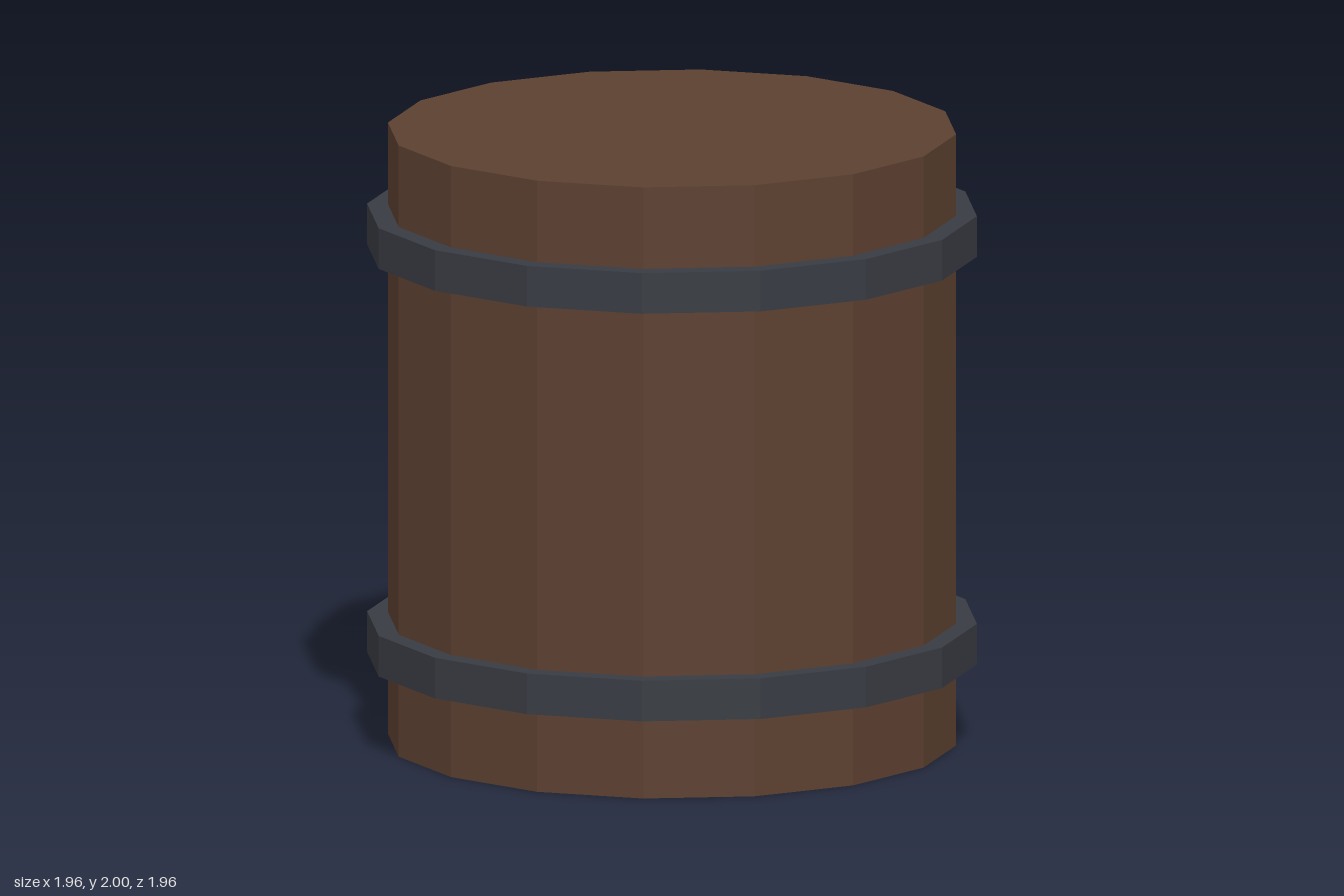
import * as THREE from 'three';

const SIDES = 16;

export function createModel() {
  const barrel = new THREE.Group();
  barrel.name = 'barrel';

  const wood = new THREE.MeshStandardMaterial({ color: 0x5c4030, flatShading: true });
  const iron = new THREE.MeshStandardMaterial({ color: 0x383b42, flatShading: true });

  // Upright faceted drum centred at height y
  function drum(name, radius, height, y, material) {
    const mesh = new THREE.Mesh(new THREE.CylinderGeometry(radius, radius, height, SIDES), material);
    mesh.name = name;
    mesh.position.y = y;
    barrel.add(mesh);
  }

  // Wooden body with flat lid and base
  drum('body', 0.914, 2, 1, wood);

  // Iron hoops, mirrored about mid height
  drum('lowerHoop', 0.981, 0.133, 1 - 0.667, iron);
  drum('upperHoop', 0.981, 0.133, 1 + 0.667, iron);

  return barrel;
}
